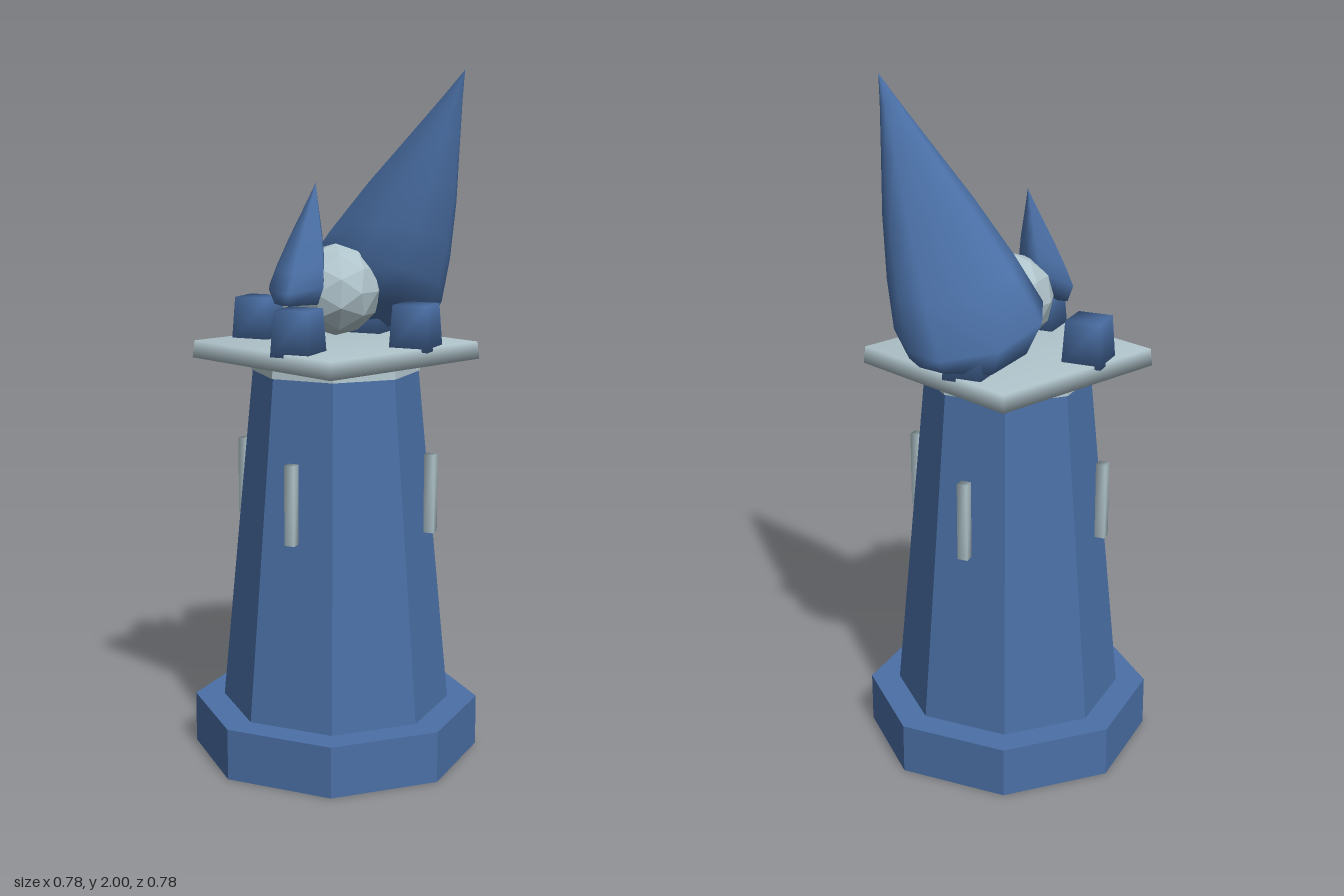
import * as THREE from 'three';
import { mergeVertices } from 'three/addons/utils/BufferGeometryUtils.js';

const blue = new THREE.MeshStandardMaterial({ color: 0x4a6fa5 });
blue.name = 'slateBlue';
const pale = new THREE.MeshStandardMaterial({ color: 0xb0c4cb });
pale.name = 'paleGrey';

// Hard facets
function faceted(geo) {
  const g = geo.index ? geo.toNonIndexed() : geo;
  g.computeVertexNormals();
  return g;
}

// Soft normals shared across all edges
function softened(geo) {
  geo.deleteAttribute('normal');
  geo.deleteAttribute('uv');
  const g = mergeVertices(geo);
  g.computeVertexNormals();
  return g;
}

// Prism with a flat side facing the front
const octagon = (top, bottom, h) =>
  faceted(new THREE.CylinderGeometry(top, bottom, h, 8, 1, false, Math.PI / 8));

// Leaning horn: a tilted rim drawn up to an apex, with a rounded underside
function horn(rim, apex, drop, floor) {
  const n = rim.length;
  const pts = rim.map((p) => new THREE.Vector3(...p));
  const tip = new THREE.Vector3(...apex);
  const mid = pts.reduce((s, p) => s.add(p), new THREE.Vector3()).divideScalar(n);
  const rings = [];
  for (const [shrink, down] of [[0.45, 1], [0.8, 0.8]]) {
    rings.push(pts.map((p) => {
      const q = p.clone().lerp(mid, 1 - shrink);
      q.y = Math.max(floor, p.y - drop * down);
      return q;
    }));
  }
  for (const t of [0, 0.2, 0.45, 0.7, 0.88, 0.98]) {
    rings.push(pts.map((p) => {
      const q = p.clone().lerp(tip, t);
      const bulge = 1 + 0.12 * Math.sin(Math.PI * t);
      const axis = mid.clone().lerp(tip, t);
      return axis.add(q.sub(axis).multiplyScalar(bulge));
    }));
  }
  const verts = [], index = [];
  rings.flat().forEach((p) => verts.push(p.x, p.y, p.z));
  for (let r = 0; r < rings.length - 1; r++) {
    for (let i = 0; i < n; i++) {
      const a = r * n + i, b = r * n + (i + 1) % n;
      index.push(a, b, b + n, a, b + n, a + n);
    }
  }
  const under = rings[0].reduce((s, p) => s.add(p), new THREE.Vector3()).divideScalar(n);
  const base = verts.length / 3;
  verts.push(...under.toArray(), ...tip.toArray());
  const last = (rings.length - 1) * n;
  for (let i = 0; i < n; i++) {
    const j = (i + 1) % n;
    index.push(base, j, i, base + 1, last + i, last + j);
  }
  const g = new THREE.BufferGeometry();
  g.setAttribute('position', new THREE.Float32BufferAttribute(verts, 3));
  g.setIndex(index);
  g.computeVertexNormals();
  return g;
}

export function createModel() {
  const model = new THREE.Group();
  const add = (name, geo, mat, x = 0, y = 0, z = 0) => {
    const m = new THREE.Mesh(geo, mat);
    m.name = name;
    m.position.set(x, y, z);
    model.add(m);
    return m;
  };

  // Plinth, tapering tower and the pale band under the deck
  add('plinth', octagon(0.424, 0.424, 0.15), blue, 0, 0.075);
  add('tower', octagon(0.238, 0.337, 1.04), blue, 0, 0.67);
  add('towerBand', octagon(0.243, 0.246, 0.04), pale, 0, 1.165);

  // Square deck, turned off the tower's axis
  const deck = new THREE.CylinderGeometry(0.412, 0.418, 0.05, 4, 1, false, Math.PI / 8);
  add('deck', softened(deck), pale, 0, 1.205);

  // Window bars and battlements on all four sides
  const bar = softened(new THREE.BoxGeometry(0.03, 0.23, 0.03));
  const block = new THREE.BoxGeometry(0.118, 0.13, 0.118);
  const pos = block.attributes.position;
  for (let i = 0; i < pos.count; i++) {
    if (pos.getY(i) > 0) {
      pos.setX(i, pos.getX(i) * 0.87);
      pos.setZ(i, pos.getZ(i) * 0.87);
    }
  }
  const merlon = softened(block);
  for (let i = 0; i < 4; i++) {
    const a = i * Math.PI / 2, x = Math.sin(a), z = Math.cos(a);
    add('windowBar', bar, pale, x * 0.3, 0.805, z * 0.3);
    add('merlon', merlon, blue, x * 0.25, 1.285, z * 0.25);
  }

  // Faceted lamp
  add('lamp', faceted(new THREE.IcosahedronGeometry(0.133, 1)), pale, 0, 1.38, 0);

  // Large horn behind the lamp, leaning to its left
  const bigRim = [
    [-0.16, 1.42, -0.12], [-0.03, 1.45, -0.05], [0.07, 1.45, 0.005], [0.2, 1.45, -0.015],
    [0.27, 1.4, -0.13], [0.23, 1.33, -0.26], [0.15, 1.3, -0.335], [0.04, 1.29, -0.362],
    [-0.11, 1.32, -0.305], [-0.2, 1.39, -0.22],
  ];
  add('largeHorn', horn(bigRim, [0.365, 2, -0.063], 0.12, 1.245), blue);

  // Small horn in front
  const smallRim = [
    [-0.153, 1.4, 0.12], [-0.13, 1.39, 0.17], [-0.08, 1.385, 0.213], [-0.045, 1.385, 0.218],
    [0.03, 1.4, 0.15], [0.005, 1.43, 0.09], [-0.04, 1.46, 0.045], [-0.085, 1.45, 0.04],
  ];
  add('smallHorn', horn(smallRim, [-0.037, 1.688, 0.055], 0.06, 1.35), blue);

  return model;
}
